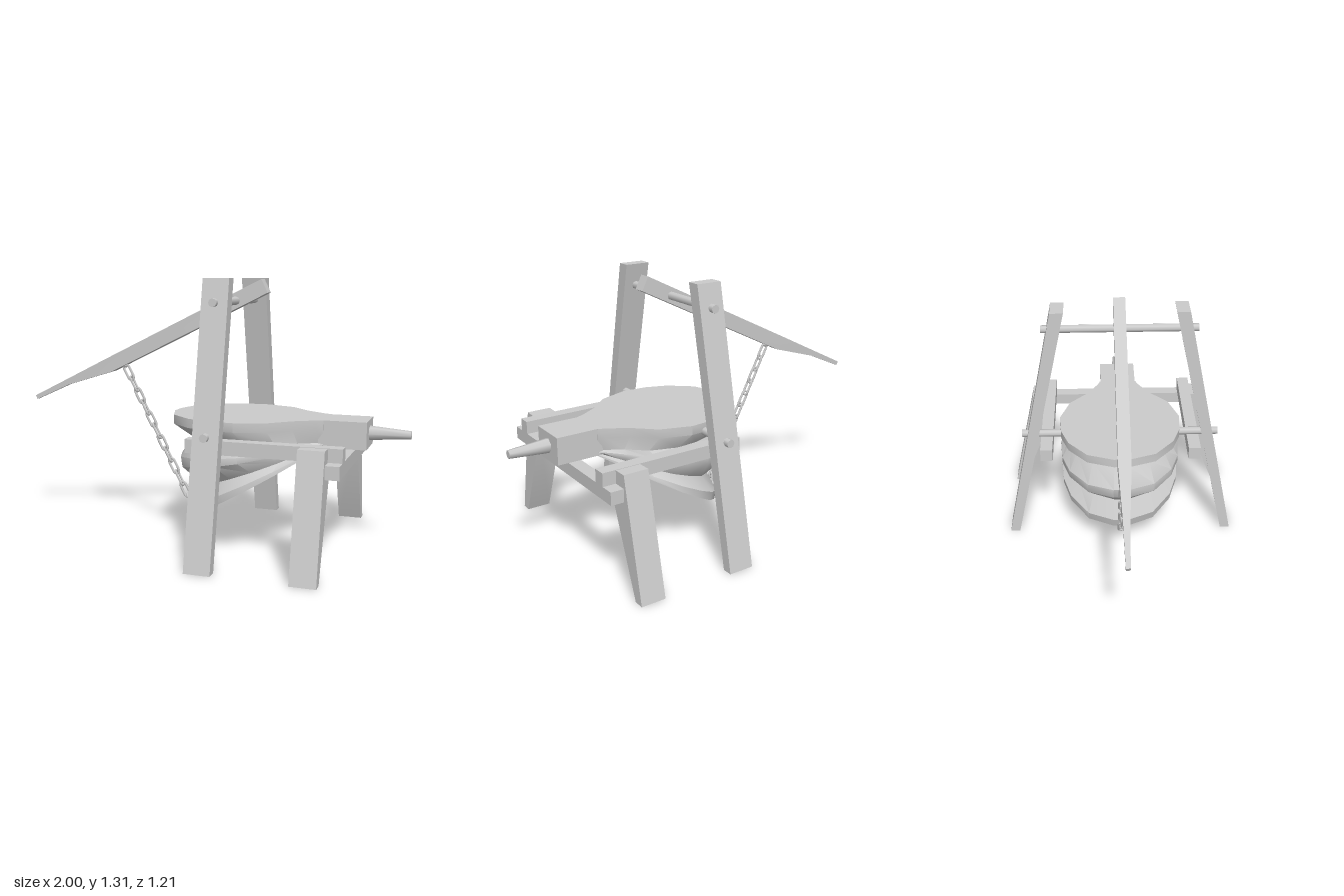
import * as THREE from 'three';
import { toCreasedNormals } from 'three/addons/utils/BufferGeometryUtils.js';

const material = new THREE.MeshStandardMaterial({ color: 0xcccccc });

// Closed solid through a list of rings (each ring: equal number of [x, y, z])
function loft(rings, crease = 0.6) {
  const n = rings[0].length, pos = rings.flat(), idx = [];
  for (let r = 0; r < rings.length - 1; r++) {
    for (let i = 0; i < n; i++) {
      const a = r * n + i, b = r * n + (i + 1) % n;
      idx.push(a, b, a + n, b, b + n, a + n);
    }
  }
  [0, rings.length - 1].forEach((r, end) => {
    const c = pos.length;
    pos.push([0, 1, 2].map((k) => rings[r].reduce((s, p) => s + p[k], 0) / n));
    for (let i = 0; i < n; i++) {
      const a = r * n + i, b = r * n + (i + 1) % n;
      idx.push(...(end ? [a, b, c] : [b, a, c]));
    }
  });
  // Turn the faces outward if the signed volume is negative
  const v = pos.map((p) => new THREE.Vector3(...p));
  let volume = 0;
  for (let i = 0; i < idx.length; i += 3) {
    volume += v[idx[i]].dot(v[idx[i + 1]].clone().cross(v[idx[i + 2]]));
  }
  if (volume < 0) idx.reverse();
  const g = new THREE.BufferGeometry();
  g.setAttribute('position', new THREE.Float32BufferAttribute(pos.flat(), 3));
  g.setIndex(idx);
  return toCreasedNormals(g, crease);
}

// Prism from a (z, y) outline, running from x0 to x1
const prism = (outline, x0, x1) =>
  loft([x0, x1].map((x) => outline.map(([z, y]) => [x, y, z])));

export function createModel() {
  const model = new THREE.Group();
  const add = (name, geometry, x = 0, y = 0, z = 0, parent = model) => {
    const mesh = new THREE.Mesh(geometry, material);
    mesh.name = name;
    mesh.position.set(x, y, z);
    parent.add(mesh);
    return mesh;
  };

  // Stand: splayed legs and side rails on both sides
  for (const s of [1, -1]) {
    const side = s > 0 ? 'Front' : 'Back';
    const mirror = (pts) => pts.map(([z, y]) => [z * s, y]);
    add('tallLeg' + side, prism(mirror([[0.605, 0], [0.335, 1.31], [0.27, 1.31], [0.555, 0]]), 0.08, 0.207));
    // The short leg flares at its top, where it carries the rail
    add('shortLeg' + side, prism(mirror([[0.605, 0], [0.48, 0.575], [0.36, 0.572], [0.355, 0.5], [0.555, 0]]), 0.565, 0.687));
    add('sideRail' + side, new THREE.BoxGeometry(0.735, 0.065, 0.062), 0.385, 0.543, 0.382 * s);
  }
  add('crossBar', new THREE.BoxGeometry(0.064, 0.062, 0.96), 0.72, 0.481, 0);

  // Dowels through the tall legs
  for (const [name, y, length] of [['leverAxle', 1.2, 0.77], ['bellowsAxle', 0.602, 1.02]]) {
    const rod = add(name, new THREE.CylinderGeometry(0.02, 0.02, length, 8), 0.143, y, 0);
    rod.rotation.x = Math.PI / 2;
  }

  // Lever: straight top edge, thinned toward the handle
  const lever = add('lever', loft([
    [0, 0.073, 0.03], [0.93, 0.073, 0.03], [1.2, 0.03, 0.016], [1.415, 0.022, 0.01],
  ].map(([s, t, w]) => [[-s, 0, w], [-s, 0, -w], [-s, -t, -w], [-s, -t, w]])), 0.27, 1.305, 0);
  lever.rotation.z = 0.457;

  // Bellows: one outline fanned about the nozzle hinge, pinched between the boards
  const half = [[0, 0.1], [0.03, 0.11], [0.13, 0.17], [0.23, 0.265], [0.38, 0.315],
    [0.51, 0.305], [0.62, 0.265], [0.73, 0.17], [0.775, 0.04]];
  const outline = [...half, ...half.map(([d, z]) => [d, -z]).reverse()];
  // Each layer: tilt in degrees, height offset, length scale, width scale
  const layers = [
    [0, 0.115, 1, 1], [0, 0.07, 1, 1], [0, 0.004, 0.87, 0.85],
    [7.7, 0, 0.96, 1], [11.6, -0.004, 0.96, 1], [21, -0.008, 0.86, 0.85],
    [26.5, -0.014, 0.965, 1], [30, -0.02, 0.975, 1],
  ];
  add('bellows', loft(layers.map(([deg, dy, kd, kz]) => {
    const a = THREE.MathUtils.degToRad(deg);
    return outline.map(([d, z]) => [
      0.6 - d * kd * Math.cos(a), 0.53 + dy - d * kd * Math.sin(a), z * kz,
    ]);
  }), 0.7));

  // Nozzle block and tapered spout
  add('nozzleBlock', new THREE.BoxGeometry(0.23, 0.132, 0.194), 0.69, 0.579, 0);
  const spout = add('spout', new THREE.CylinderGeometry(0.02, 0.037, 0.21, 7), 0.895, 0.58, 0);
  spout.rotation.z = -Math.PI / 2;

  // Chain from the lever down to the lower board
  const chain = new THREE.Group();
  chain.name = 'chain';
  const top = new THREE.Vector3(-0.468, 0.862, 0), bottom = new THREE.Vector3(-0.085, 0.127, 0);
  const links = 12, length = top.distanceTo(bottom);
  const pitch = length / (links + 0.25);
  const h = pitch * 0.62, w = 0.015;
  const loop = new THREE.CatmullRomCurve3([
    [w, h * 0.65], [w * 0.6, h], [-w * 0.6, h], [-w, h * 0.65],
    [-w, -h * 0.65], [-w * 0.6, -h], [w * 0.6, -h], [w, -h * 0.65],
  ].map(([x, y]) => new THREE.Vector3(x, y, 0)), true, 'catmullrom', 0.2);
  const linkGeometry = new THREE.TubeGeometry(loop, 24, 0.006, 6, true);
  for (let i = 0; i < links; i++) {
    const link = add('chainLink', linkGeometry, 0, -(i + 0.6) * pitch, 0, chain);
    link.rotation.y = i % 2 ? Math.PI / 2 : 0;
  }
  chain.position.copy(top);
  chain.quaternion.setFromUnitVectors(new THREE.Vector3(0, -1, 0), bottom.clone().sub(top).normalize());
  model.add(chain);

  // Small eyes holding the chain ends
  add('leverEye', new THREE.SphereGeometry(0.014, 8, 6), -0.468, 0.862, 0);
  add('boardEye', new THREE.SphereGeometry(0.014, 8, 6), -0.07, 0.137, 0);

  return model;
}
